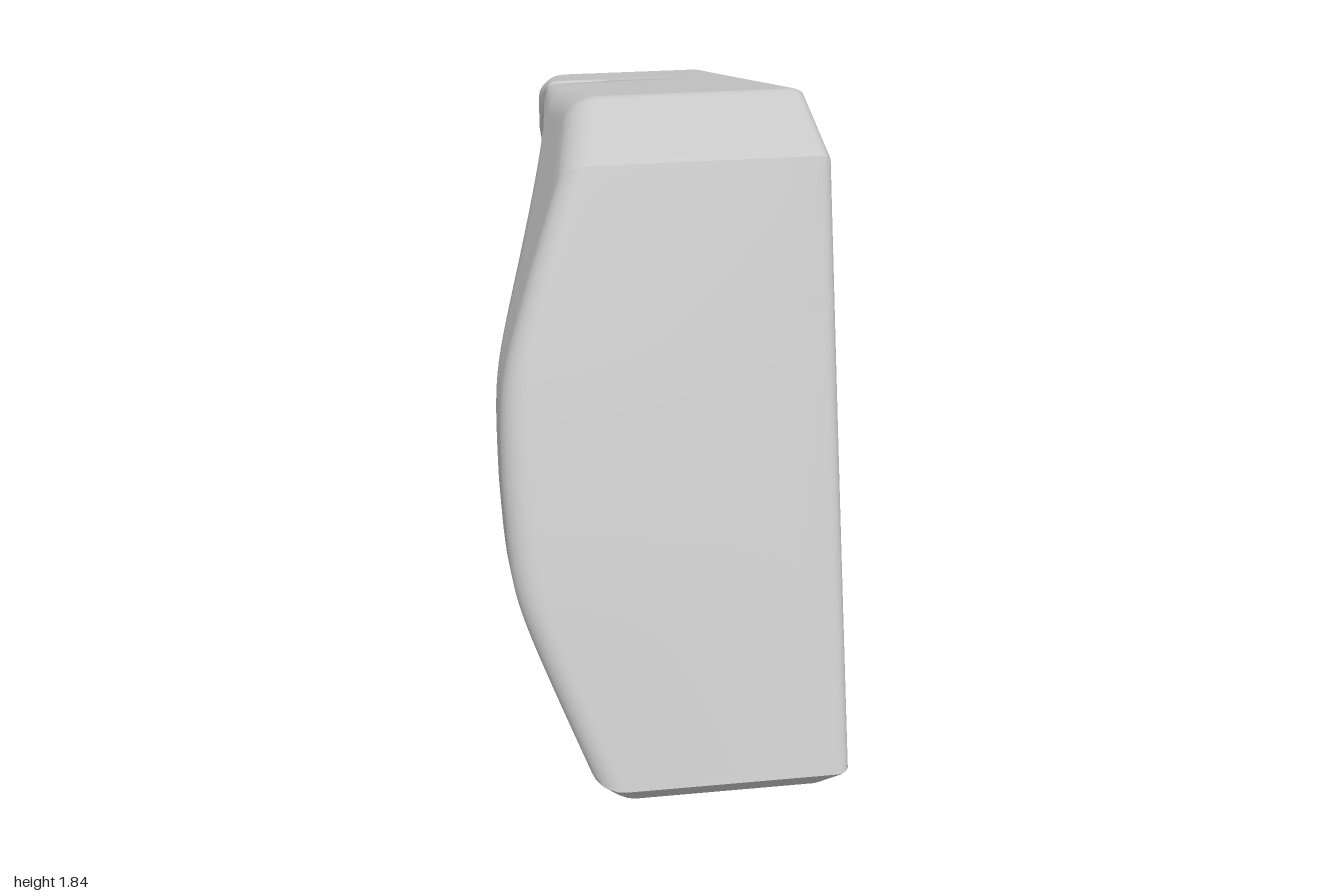
import * as THREE from 'three';
import { toCreasedNormals } from 'three/addons/utils/BufferGeometryUtils.js';

const SEG = 480, TILT = 14 * Math.PI / 180;
const HOLE = 0.343, FLAT = 0.337, FLOOR = 0.085, SLOT = 0.005;
const TURN = 0.06; // the recess and its slots are turned a little

// Outline radius: square with chamfered front corners and rounded back corners
function outline(a) {
  const c = Math.cos(a), s = Math.abs(Math.sin(a));
  const side = Math.sin(a) > 0 ? 0.785 : 0.793;
  const limits = [[c, 0.963], [-c, 0.79], [s, side], [0.455 * c + 0.89 * s, 1.028]];
  let r = Infinity;
  for (const [d, offset] of limits) if (d > 1e-6) r = Math.min(r, offset / d);
  const rad = 0.26, cu = rad - 0.79, cv = side - rad;
  if (r * c < cu && r * s > cv) {
    const dot = c * cu + s * cv;
    r = dot + Math.sqrt(dot * dot - cu * cu - cv * cv + rad * rad);
  }
  return r;
}

const softMin = (a, b) => (a + b - Math.hypot(a - b, 0.035)) / 2;

// Height of the raised rim: low and tapering at the back, a faceted crest in front
function rimHeight(u, v) {
  const crest = softMin(0.37, 0.37 - 0.37 * (Math.abs(v) - 0.22));
  const ramp = 0.145 + 0.5 * Math.max(0, u) - 0.18 * Math.max(0, -u - 0.38);
  return softMin(crest, ramp);
}

// Closed cross-section [radius, x] through the block at angle a
function section(a) {
  const c = Math.cos(a), s = Math.sin(a), ro = outline(a);
  const rb = 1 / Math.hypot(Math.cos(a - TURN) / 0.685, Math.sin(a - TURN) / 0.75);
  // narrow slots join the recess to the two long sides
  const open = THREE.MathUtils.smoothstep(Math.abs(ro * Math.cos(a - TURN)), 0.02, 0.095);
  const top = (r) => THREE.MathUtils.lerp(SLOT, -rimHeight(r * c, r * s), open);
  // the recess wall flares outwards where it is tall
  const rt = rb + 0.4 * Math.max(0, rimHeight(rb * c, rb * s) - 0.15);
  const pts = [];
  // hole wall and rounded hole edge
  pts.push([HOLE, FLOOR], [HOLE, 0.2]);
  for (let i = 0; i <= 4; i++) {
    const t = i / 4 * Math.PI / 2;
    pts.push([HOLE + 0.035 * (1 - Math.cos(t)), FLAT - 0.035 * (1 - Math.sin(t))]);
  }
  // flat face and its outer edge
  pts.push([HOLE + 0.06, FLAT], [ro - 0.05, FLAT]);
  for (let i = 0; i <= 4; i++) {
    const t = i / 4 * Math.PI / 2;
    pts.push([ro - 0.025 * (1 - Math.sin(t)), FLAT - 0.025 * (1 - Math.cos(t))]);
  }
  // outer side and rounded rim edge
  pts.push([ro, 0.25]);
  const e = Math.min(0.055, (ro - rt) * 0.45);
  for (let i = 0; i <= 5; i++) {
    const t = i / 5 * Math.PI / 2, r = ro - e * (1 - Math.cos(t));
    pts.push([r, top(r) + e * (1 - Math.sin(t))]);
  }
  // rim surface
  for (let i = 1; i <= 7; i++) {
    const r = THREE.MathUtils.lerp(ro - e, rt + e * 0.4, i / 7);
    pts.push([r, top(r)]);
  }
  // recess wall and floor
  const lip = e * 0.4;
  pts.push([rt + e * 0.12, top(rt) + lip * 0.3], [rt, top(rt) + lip]);
  pts.push([rb, FLOOR - 0.002], [rb - 0.01, FLOOR], [0.5, FLOOR]);
  return pts;
}

function blockGeometry() {
  const pos = [], idx = [];
  const c = Math.cos(TILT), s = Math.sin(TILT);
  let n = 0;
  for (let j = 0; j < SEG; j++) {
    const a = j / SEG * Math.PI * 2;
    const pts = section(a);
    n = pts.length;
    for (const [r, x] of pts) {
      const u = r * Math.cos(a), v = r * Math.sin(a);
      const dy = u * s + v * c;
      pos.push(x - 0.02 * dy, 0.907 + dy, -0.1 + u * c - v * s); // slight lean
    }
  }
  for (let j = 0; j < SEG; j++) {
    const k = (j + 1) % SEG;
    for (let i = 0; i < n; i++) {
      const m = (i + 1) % n;
      const p = j * n + i, q = k * n + i, t = j * n + m, w = k * n + m;
      idx.push(p, q, t, q, w, t);
    }
  }
  const g = new THREE.BufferGeometry();
  g.setAttribute('position', new THREE.Float32BufferAttribute(pos, 3));
  g.setIndex(idx);
  return toCreasedNormals(g, 0.7);
}

export function createModel() {
  const group = new THREE.Group();
  group.name = 'recessedBlock';
  const block = new THREE.Mesh(blockGeometry(), new THREE.MeshStandardMaterial({ color: 0xcccccc }));
  block.name = 'blockWithHoleAndRecess';
  group.add(block);
  return group;
}
